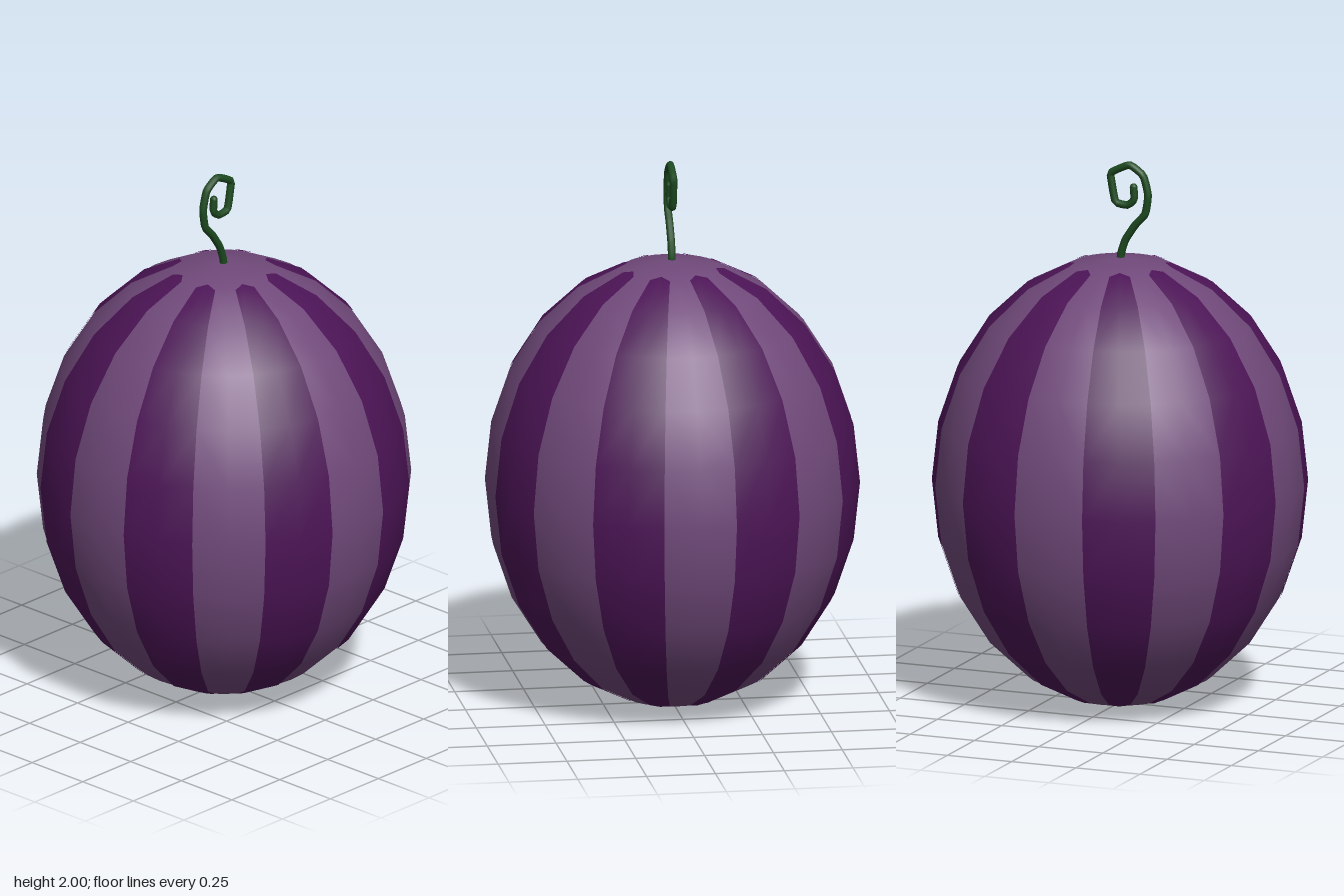
import * as THREE from 'three';

const R = 0.672, H = 0.822, CY = 0.823;
const RING = 15, SIDE = 11.25; // degrees between rings and between meridians
const rad = THREE.MathUtils.degToRad;

// Point on the faceted skin: straight between rings, theta measured from the top.
function skinPoint(theta, phi) {
  const k = Math.floor(theta / RING), f = theta / RING - k;
  const a = rad(k * RING), b = rad((k + 1) * RING);
  const r = R * THREE.MathUtils.lerp(Math.sin(a), Math.sin(b), f);
  const y = H * THREE.MathUtils.lerp(Math.cos(a), Math.cos(b), f);
  return new THREE.Vector3(r * Math.sin(rad(phi)), y, r * Math.cos(rad(phi)));
}

// One dark stripe, two facets wide, with blunt pointed tips at both ends.
function stripeGeometry(centre) {
  const rows = [[16.2, 13.9], [17, 15]];
  for (let t = 30; t <= 150; t += RING) rows.push([t, t]);
  rows.push([163, 165], [163.8, 166.1]);
  const pos = [], nor = [], idx = [];
  rows.forEach(([edge, mid], i) => {
    for (let j = 0; j < 3; j++) {
      const p = skinPoint(j === 1 ? mid : edge, centre + (j - 1) * SIDE);
      const n = new THREE.Vector3(p.x / R ** 2, p.y / H ** 2, p.z / R ** 2).normalize();
      p.addScaledVector(n, 0.003);
      pos.push(p.x, p.y, p.z);
      nor.push(n.x, n.y, n.z);
      if (i && j) {
        const d = i * 3 + j, c = d - 1, b = d - 3, a = d - 4;
        idx.push(a, c, b, b, c, d);
      }
    }
  });
  const g = new THREE.BufferGeometry();
  g.setAttribute('position', new THREE.Float32BufferAttribute(pos, 3));
  g.setAttribute('normal', new THREE.Float32BufferAttribute(nor, 3));
  g.setIndex(idx);
  return g;
}

export function createModel() {
  const model = new THREE.Group();
  const material = color => new THREE.MeshStandardMaterial({ color });
  const light = material(0x70497a), dark = material(0x4c1456), green = material(0x1d4a20);
  const add = (parent, name, geometry, mat) => {
    const m = new THREE.Mesh(geometry, mat);
    m.name = name;
    parent.add(m);
    return m;
  };

  // Fruit body
  const body = add(model, 'fruitBody', new THREE.SphereGeometry(1, 32, 12).scale(R, H, R), light);
  body.position.y = CY;

  // Eight dark stripes
  const stripes = new THREE.Group();
  stripes.name = 'stripes';
  stripes.position.y = CY;
  for (let i = 0; i < 8; i++) add(stripes, 'stripe', stripeGeometry(22.5 + i * 45), dark);
  model.add(stripes);

  // Curled stem, lying in the x = 0 plane, as [z, y]
  const path = [[0, 1.62], [0.005, 1.66], [0.022, 1.71], [0.06, 1.767], [0.098, 1.81], [0.109, 1.88],
    [0.09, 1.95], [0.037, 1.985], [-0.034, 1.952], [-0.034, 1.925], [-0.017, 1.845], [0.03, 1.837],
    [0.055, 1.86], [0.053, 1.905]].map(([z, y]) => new THREE.Vector3(0, y, z));
  const curve = new THREE.CatmullRomCurve3(path, false, 'catmullrom', 0.25);
  const stem = new THREE.Group();
  stem.name = 'stem';
  add(stem, 'stemCurl', new THREE.TubeGeometry(curve, 56, 0.014, 10), green);
  add(stem, 'stemTip', new THREE.SphereGeometry(0.014, 10, 8), green).position.copy(path.at(-1));
  model.add(stem);

  return model;
}
